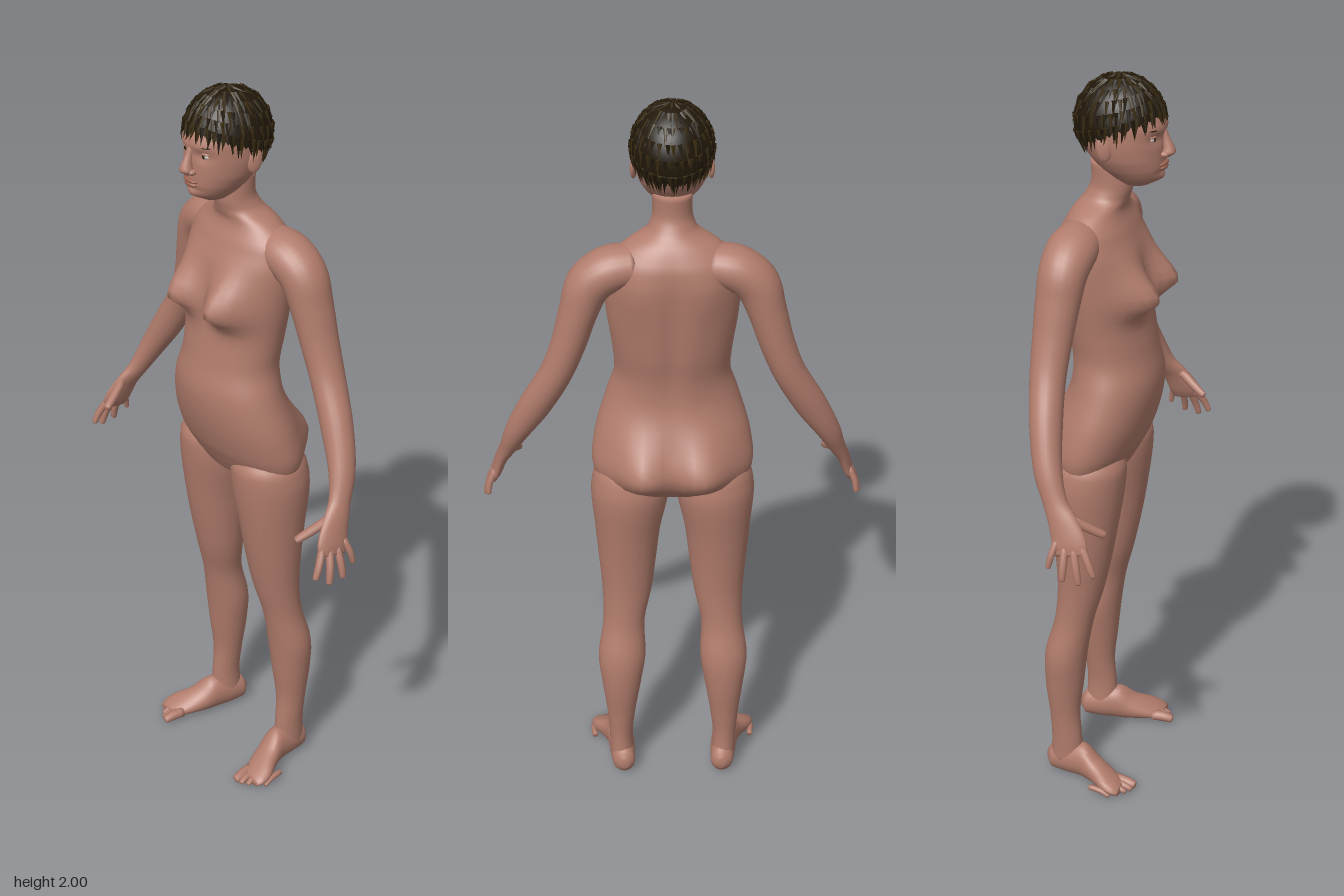
import * as THREE from 'three';
import { mergeGeometries } from 'three/addons/utils/BufferGeometryUtils.js';

const V = (x, y, z) => new THREE.Vector3(x, y, z);
const Z = V(0, 0, 1), Y = V(0, 1, 0), DOWN = V(0, -1, 0);

// Closed elliptical skin through sections [x, y, z, halfWidth, halfDepth].
function loft(sections, rows, segs, { ref = Z, fixed = null, bumps = [] } = {}) {
  const path = new THREE.CatmullRomCurve3(sections.map(s => V(s[0], s[1], s[2])));
  const size = new THREE.CatmullRomCurve3(sections.map(s => V(s[3], s[4], 0)));
  const pos = [], idx = [];
  for (let k = 0; k <= rows; k++) {
    const c = path.getPoint(k / rows), r = size.getPoint(k / rows);
    const t = fixed || path.getTangent(k / rows);
    const u = new THREE.Vector3().crossVectors(ref, t).normalize();
    const v = new THREE.Vector3().crossVectors(t, u);
    for (let i = 0; i < segs; i++) {
      const a = i / segs * Math.PI * 2;
      const p = c.clone().addScaledVector(u, Math.cos(a) * r.x).addScaledVector(v, Math.sin(a) * r.y);
      // soft swellings and hollows pushed along z on the front (+1) or back (-1)
      for (const [face, bx, by, sx, up, down, amp] of bumps) {
        const s = Math.max(0, Math.sin(a) * face);
        const dx = (Math.abs(p.x) - bx) / sx, dy = (p.y - by) / (p.y > by ? up : down);
        p.z += amp * Math.sqrt(s) * Math.exp(-dx * dx - dy * dy);
      }
      pos.push(p.x, p.y, p.z);
    }
  }
  for (let k = 0; k < rows; k++) for (let i = 0; i < segs; i++) {
    const a = k * segs + i, b = k * segs + (i + 1) % segs;
    idx.push(a, b, a + segs, b, b + segs, a + segs);
  }
  // end caps
  const n = pos.length / 3, e = path.getPoint(1), s = path.getPoint(0), last = rows * segs;
  pos.push(s.x, s.y, s.z, e.x, e.y, e.z);
  for (let i = 0; i < segs; i++) {
    const j = (i + 1) % segs;
    idx.push(n, j, i, n + 1, last + i, last + j);
  }
  const g = new THREE.BufferGeometry();
  g.setAttribute('position', new THREE.Float32BufferAttribute(pos, 3));
  g.setIndex(idx);
  g.computeVertexNormals();
  return g;
}

// Profile rows [y, halfWidth, front, back] to sections.
const rowsToSections = rows => rows.map(([y, w, f, b]) => [0, y, (f + b) / 2, w, (f - b) / 2]);

// Tapered rounded finger or toe through three points.
const digit = (a, b, c, r, ref) => loft([
  [...a, r, r], [...b, r * 0.95, r * 0.95], [...c, r * 0.75, r * 0.75],
  [c[0] + (c[0] - b[0]) * 0.12, c[1] + (c[1] - b[1]) * 0.12, c[2] + (c[2] - b[2]) * 0.12, r * 0.2, r * 0.2]], 9, 8, { ref });

export function createModel() {
  const model = new THREE.Group();
  const mat = (name, color, extra = {}) => Object.assign(new THREE.MeshStandardMaterial({ color, ...extra }), { name });
  const skin = mat('skin', 0xb17c6c);
  const lip = mat('lips', 0x99604f);
  const hair = mat('hair', 0x3a2c12, { side: THREE.DoubleSide });
  const darkHair = mat('dark hair', 0x21180a, { side: THREE.DoubleSide });
  const white = mat('eye white', 0xcfc4ba);
  const add = (name, geo, material = skin) => {
    const m = new THREE.Mesh(geo, material);
    m.name = name;
    model.add(m);
    return m;
  };
  const ball = (name, material, x, y, z, rx, ry, rz) => {
    const m = add(name, new THREE.SphereGeometry(1, 16, 12), material);
    m.position.set(x, y, z);
    m.scale.set(rx, ry, rz);
    return m;
  };

  // neck and torso
  add('torso', loft(rowsToSections([
    [1.78, 0.05, 0.05, -0.05], [1.72, 0.05, 0.058, -0.05], [1.685, 0.062, 0.05, -0.068],
    [1.655, 0.115, 0.042, -0.092], [1.61, 0.165, 0.06, -0.115], [1.55, 0.175, 0.082, -0.12],
    [1.45, 0.168, 0.095, -0.115], [1.35, 0.155, 0.11, -0.105], [1.28, 0.15, 0.122, -0.092],
    [1.2, 0.172, 0.137, -0.09], [1.1, 0.203, 0.123, -0.115], [1.03, 0.213, 0.1, -0.13],
    [0.98, 0.205, 0.075, -0.125], [0.94, 0.14, 0.05, -0.1], [0.92, 0.05, 0, -0.06]]), 64, 48, {
    fixed: DOWN,
    bumps: [
      [1, 0.085, 1.445, 0.055, 0.075, 0.04, 0.08],
      [-1, 0.085, 1.02, 0.07, 0.09, 0.06, -0.055],
      [-1, 0, 1.38, 0.025, 0.18, 0.16, 0.014],
      [-1, 0.09, 1.54, 0.05, 0.06, 0.08, -0.01]]
  }));

  // head
  add('head', loft(rowsToSections([
    [1.985, 0.015, 0.045, 0.015], [1.965, 0.055, 0.085, -0.035], [1.93, 0.083, 0.122, -0.07],
    [1.88, 0.092, 0.142, -0.085], [1.84, 0.092, 0.141, -0.078], [1.8, 0.085, 0.141, -0.055],
    [1.77, 0.071, 0.141, -0.03], [1.745, 0.053, 0.131, 0], [1.725, 0.028, 0.1, 0.03]]), 40, 48, {
    fixed: DOWN,
    bumps: [[1, 0.036, 1.853, 0.02, 0.015, 0.015, -0.008], [1, 0.036, 1.877, 0.03, 0.01, 0.01, 0.004],
      [1, 0, 1.747, 0.02, 0.012, 0.012, 0.006], [1, 0, 1.766, 0.03, 0.006, 0.006, -0.005]]
  }));
  add('nose', loft([[0, 1.875, 0.134, 0.008, 0.008], [0, 1.85, 0.142, 0.009, 0.011], [0, 1.825, 0.15, 0.014, 0.016],
    [0, 1.813, 0.15, 0.018, 0.018], [0, 1.802, 0.143, 0.011, 0.011]], 14, 16, { fixed: DOWN }));
  ball('upperLip', lip, 0, 1.785, 0.138, 0.026, 0.006, 0.011);
  ball('lowerLip', lip, 0, 1.775, 0.137, 0.022, 0.007, 0.011);

  // hair cap whose lower edge drops from forehead to nape
  const centre = V(0, 1.88, 0.025), radii = V(0.103, 0.117, 0.116);
  const hairline = a => 1.7 - 0.38 * Math.cos(a);
  const onHair = (a, th, k = 1) => V(Math.sin(a) * Math.sin(th), Math.cos(th), Math.cos(a) * Math.sin(th))
    .multiply(radii).multiplyScalar(k).add(centre);
  const cap = new THREE.SphereGeometry(1, 48, 20);
  const cp = cap.attributes.position, uv = cap.attributes.uv;
  for (let i = 0; i < cp.count; i++) {
    const a = uv.getX(i) * Math.PI * 2;
    const p = onHair(a, (1 - uv.getY(i)) * hairline(a));
    cp.setXYZ(i, p.x, p.y, p.z);
  }
  cap.computeVertexNormals();
  add('hairCap', cap, darkHair);

  // short tapered locks combed down from the crown
  let seed = 7;
  const rnd = () => (seed = (seed * 16807) % 2147483647) / 2147483647;
  const locks = [[], []];
  for (let layer = 0; layer < 6; layer++) {
    const count = 14 + layer * 9;
    for (let i = 0; i < count; i++) {
      const a = (i + rnd() * 0.8) / count * Math.PI * 2, end = hairline(a);
      const t0 = end * (layer / 6) + 0.05, t1 = t0 + end * (0.22 + rnd() * 0.1);
      const p = onHair(a, t0, 0.98), q = onHair(a + (rnd() - 0.5) * 0.15, t1, 1.02 + rnd() * 0.025);
      const dir = q.clone().sub(p);
      const g = new THREE.ConeGeometry(0.0075, dir.length(), 5);
      g.applyQuaternion(new THREE.Quaternion().setFromUnitVectors(Y, dir.normalize()));
      g.translate((p.x + q.x) / 2, (p.y + q.y) / 2, (p.z + q.z) / 2);
      locks[i % 2].push(g);
    }
  }
  add('hairLocks', mergeGeometries(locks[0]), hair);
  add('darkHairLocks', mergeGeometries(locks[1]), darkHair);

  // paired parts
  for (const [s, side] of [[1, 'left'], [-1, 'right']]) {
    const flip = list => list.map(([x, ...rest]) => [x * s, ...rest]);

    // face details and ears
    ball(side + 'Eye', white, s * 0.036, 1.853, 0.115, 0.014, 0.008, 0.0125);
    ball(side + 'Iris', darkHair, s * 0.036, 1.853, 0.1245, 0.006, 0.006, 0.004);
    ball(side + 'UpperLid', skin, s * 0.036, 1.86, 0.116, 0.017, 0.006, 0.0135);
    ball(side + 'Brow', darkHair, s * 0.038, 1.878, 0.126, 0.02, 0.003, 0.008).rotation.y = s * 0.35;
    ball(side + 'Nostril', skin, s * 0.014, 1.81, 0.143, 0.009, 0.008, 0.012);
    const ear = ball(side + 'Ear', skin, s * 0.094, 1.835, 0.015, 0.008, 0.032, 0.019);
    ear.rotation.set(-0.15, -s * 0.35, 0);

    // arm and palm
    add(side + 'Arm', loft(flip([
      [0.09, 1.6, -0.04, 0.052, 0.06], [0.16, 1.587, -0.045, 0.058, 0.066], [0.208, 1.55, -0.05, 0.058, 0.062],
      [0.235, 1.48, -0.055, 0.05, 0.057], [0.262, 1.39, -0.06, 0.045, 0.051], [0.297, 1.3, -0.06, 0.042, 0.046],
      [0.352, 1.2, -0.045, 0.042, 0.042], [0.407, 1.1, -0.02, 0.032, 0.036], [0.436, 1.03, 0.01, 0.022, 0.031],
      [0.453, 0.99, 0.035, 0.017, 0.038], [0.469, 0.94, 0.058, 0.015, 0.046], [0.477, 0.915, 0.063, 0.01, 0.04]]), 56, 24));

    // fingers, index to little, then thumb
    const fingers = [
      [[0.468, 0.94, 0.09], [0.483, 0.9, 0.113], [0.487, 0.872, 0.126], 0.0105],
      [[0.472, 0.935, 0.07], [0.492, 0.89, 0.083], [0.5, 0.853, 0.092], 0.011],
      [[0.474, 0.935, 0.048], [0.495, 0.89, 0.05], [0.503, 0.857, 0.05], 0.0105],
      [[0.473, 0.945, 0.025], [0.49, 0.91, 0.016], [0.494, 0.88, 0.01], 0.009],
      [[0.447, 1.0, 0.055], [0.428, 0.972, 0.098], [0.415, 0.953, 0.13], 0.013]];
    fingers.forEach(([a, b, c, r], i) =>
      add(side + (i < 4 ? 'Finger' + (i + 1) : 'Thumb'), digit(...flip([a, b, c]), r, V(1, 0, 0))));

    // leg rows: y, inner, outer, front, back
    const leg = [
      [1.03, 0.04, 0.18, 0.05, -0.1], [0.98, 0.012, 0.21, 0.078, -0.125], [0.93, 0.008, 0.217, 0.077, -0.133],
      [0.8, 0.033, 0.208, 0.06, -0.118], [0.7, 0.045, 0.2, 0.043, -0.108], [0.6, 0.058, 0.192, 0.022, -0.103],
      [0.5, 0.078, 0.192, -0.004, -0.11], [0.4, 0.076, 0.206, -0.02, -0.135], [0.3, 0.09, 0.197, -0.03, -0.136],
      [0.2, 0.106, 0.185, -0.04, -0.125], [0.12, 0.114, 0.18, -0.034, -0.12], [0.04, 0.11, 0.178, -0.03, -0.125]];
    add(side + 'Leg', loft(leg.map(([y, i, o, f, b]) =>
      [s * (i + o) / 2, y, (f + b) / 2, (o - i) / 2, (f - b) / 2]), 48, 24, { fixed: DOWN }));

    // foot from heel to ball
    add(side + 'Foot', loft(flip([
      [0.138, 0.04, -0.137, 0.012, 0.015], [0.14, 0.042, -0.12, 0.031, 0.04], [0.145, 0.048, -0.07, 0.036, 0.048],
      [0.152, 0.052, -0.025, 0.037, 0.052], [0.165, 0.037, 0.015, 0.041, 0.037], [0.185, 0.026, 0.055, 0.046, 0.026],
      [0.195, 0.018, 0.085, 0.04, 0.017], [0.198, 0.014, 0.1, 0.03, 0.01]]), 28, 24, { ref: Y, fixed: Z }));

    // toes from big to little
    for (let i = 0; i < 5; i++) {
      const x = 0.163 + i * 0.016, z = 0.128 - i * 0.004 - i * i * 0.0025, r = i ? 0.0105 - i * 0.0006 : 0.015;
      add(side + 'Toe' + (i + 1), digit(...flip([[x - 0.002, 0.019, z - 0.055], [x + 0.003, 0.017, z - 0.02], [x + 0.005, r * 0.8, z + 0.003]]), r, Y));
    }
  }
  return model;
}
